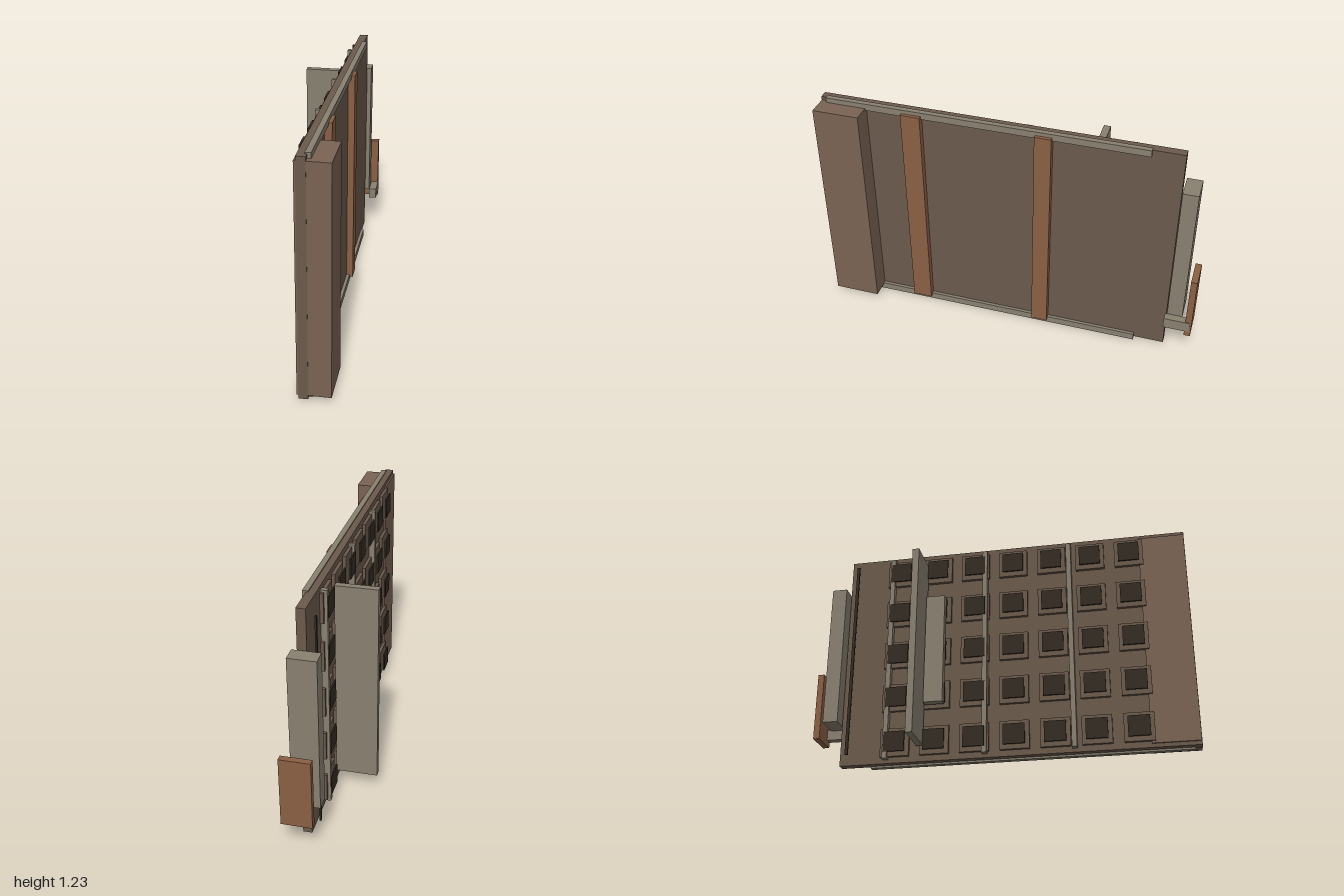
import * as THREE from 'three';

const material = (color) => new THREE.MeshStandardMaterial({ color });

export function createModel() {
  const model = new THREE.Group();
  const panelBrown = material(0x6b5a4c);
  const blockBrown = material(0x7a6354);
  const strapBrown = material(0x8a6044);
  const grey = material(0x888070);
  const dark = material(0x332c22);

  // Box given by its extents along each axis
  function box(name, mat, [x0, x1], [y0, y1], [z0, z1], parent = model) {
    const mesh = new THREE.Mesh(new THREE.BoxGeometry(x1 - x0, y1 - y0, z1 - z0), mat);
    mesh.position.set((x0 + x1) / 2, (y0 + y1) / 2, (z0 + z1) / 2);
    mesh.name = name;
    parent.add(mesh);
    return mesh;
  }

  // Main wall slab and the thick block at its front end
  box('mainPanel', panelBrown, [0.035, 0.08], [0.01, 1.22], [-0.86, 1]);
  box('endBlock', blockBrown, [0.026, 0.19], [0.03, 1.2], [0.755, 0.999]);

  // Rails along the top and bottom edges
  box('topRail', grey, [0.069, 0.097], [1.19, 1.226], [-0.7, 0.967]);
  box('bottomRail', grey, [0.069, 0.097], [0, 0.037], [-0.7, 0.967]);

  // Vertical straps on the left face
  for (const z of [0.508, -0.175]) {
    box('strap', strapBrown, [0.078, 0.115], [0.025, 1.206], [z - 0.051 + (z < 0 ? 0.008 : 0), z + 0.051 - (z < 0 ? 0.008 : 0)]);
  }

  // Grid of raised frames with dark panes on the right face
  const windows = new THREE.Group();
  windows.name = 'windowGrid';
  model.add(windows);
  for (let col = 0; col < 7; col++) {
    for (let row = 0; row < 5; row++) {
      const z = -0.563 + col * 0.2105;
      const y = 0.118 + row * 0.2487;
      box('windowFrame', panelBrown, [0.018, 0.036], [y - 0.076, y + 0.076], [z - 0.077, z + 0.077], windows);
      box('windowPane', dark, [-0.001, 0.007], [y - 0.054, y + 0.054], [z - 0.056, z + 0.056], windows);
    }
  }
  box('darkSlot', dark, [-0.001, 0.007], [0.06, 1.17], [-0.824, -0.808]);

  // Slim vertical ribs between the columns
  for (const z of [-0.612, -0.087, 0.375]) {
    box('rib', grey, [0.003, 0.036], [0.03, 1.2], [z - 0.013, z + 0.013]);
  }

  // Projecting fin and the low batten beside it
  box('fin', grey, [-0.194, 0.018], [0.09, 1.14], [-0.446, -0.41]);
  box('batten', grey, [-0.039, 0.004], [0.307, 0.923], [-0.402, -0.3]);

  // Rear post, bracket and plate
  box('rearPost', grey, [-0.034, 0.104], [0.235, 1.018], [-0.945, -0.865]);
  box('rearBracket', grey, [0.106, 0.148], [0.185, 0.244], [-0.99, -0.855]);
  box('rearPlate', strapBrown, [-0.009, 0.145], [0.155, 0.52], [-1, -0.967]);

  return model;
}
